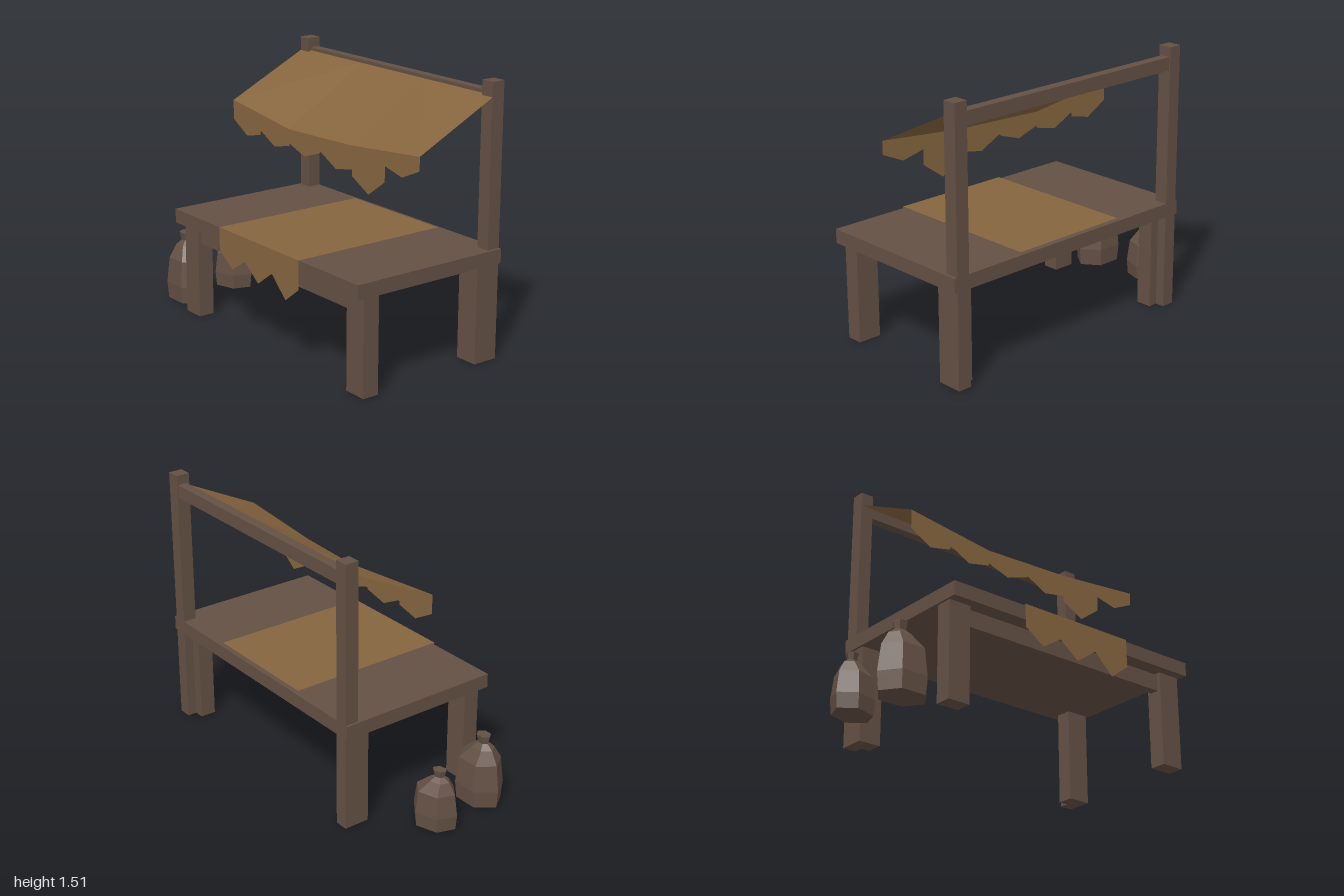
import * as THREE from 'three';

export function createModel() {
  const group = new THREE.Group();
  group.name = 'marketStall';

  const brown = new THREE.MeshStandardMaterial({ color: 0x645044 });
  brown.name = 'dark brown wood and sacking';
  const cloth = new THREE.MeshStandardMaterial({ color: 0x86653f, side: THREE.DoubleSide });
  cloth.name = 'tan cloth';

  const add = (name, geometry, material) => {
    const mesh = new THREE.Mesh(geometry, material);
    mesh.name = name;
    group.add(mesh);
    return mesh;
  };

  // Box given by its extents on each axis
  const box = (name, [x0, x1], [y0, y1], [z0, z1]) => {
    const mesh = add(name, new THREE.BoxGeometry(x1 - x0, y1 - y0, z1 - z0), brown);
    mesh.position.set((x0 + x1) / 2, (y0 + y1) / 2, (z0 + z1) / 2);
  };

  // Flat upright sheet with a ragged outline
  const sheet = (name, outline, z) => {
    const shape = new THREE.Shape(outline.map(([x, y]) => new THREE.Vector2(x, y)));
    add(name, new THREE.ShapeGeometry(shape), cloth).position.z = z;
  };

  // Table
  box('tableTop', [-0.65, 1], [0.54, 0.62], [-0.485, 0.475]);
  box('frontRail', [-0.505, 0.845], [0.435, 0.53], [0.35, 0.4]);
  for (const [side, legX, postX] of [
    ['Right', [-0.637, -0.505], [-0.637, -0.56]],
    ['Left', [0.845, 0.982], [0.904, 0.982]],
  ]) {
    box('frontLeg' + side, legX, [0, 0.54], [0.325, 0.42]);
    box('backLeg' + side, legX, [0, 0.54], [-0.43, -0.337]);
    box('backPost' + side, postX, [0, 1.515], [-0.485, -0.405]);
  }
  box('topBeam', [-0.56, 0.904], [1.385, 1.46], [-0.478, -0.422]);

  // Sagging awning: straight top edge, drooping front edge
  const columns = [[-0.637, 1.2], [-0.1, 1.13], [0.45, 1.15], [0.982, 1.2]];
  const top = columns.map(([x]) => [x, 1.442, -0.42]);
  const bottom = columns.map(([x, y]) => [x, y, 0.075]);
  const corners = [];
  for (let i = 0; i < 3; i++) {
    const a = top[i], b = bottom[i], c = bottom[i + 1], d = top[i + 1];
    corners.push(...(i === 0 ? [a, b, d, b, c, d] : [a, b, c, a, c, d]));
  }
  const awning = new THREE.BufferGeometry();
  awning.setAttribute('position', new THREE.Float32BufferAttribute(corners.flat(), 3));
  awning.computeVertexNormals();
  add('awning', awning, cloth);

  // Torn valance hanging from the awning
  sheet('awningValance', [
    [-0.637, 1.09], [-0.505, 1.015], [-0.375, 1.045], [-0.37, 1.07], [-0.24, 1.005],
    [-0.1, 1.037], [-0.1, 1.05], [0.035, 1.005], [0.17, 1.05], [0.18, 1.06],
    [0.31, 0.995], [0.45, 1.02], [0.45, 0.985], [0.585, 0.915], [0.715, 1.01],
    [0.715, 1.095], [0.85, 1.065], [0.982, 1.125], ...[...columns].reverse(),
  ], 0.075);

  // Runner across the table with a torn front flap
  const runner = new THREE.PlaneGeometry(0.72, 0.945).rotateX(-Math.PI / 2);
  add('tableRunner', runner, cloth).position.set(0.17, 0.625, 0.0125);
  sheet('runnerFlap', [
    [-0.19, 0.625], [-0.19, 0.495], [-0.07, 0.415], [0.05, 0.49], [0.17, 0.4],
    [0.295, 0.49], [0.415, 0.377], [0.53, 0.465], [0.53, 0.625],
  ], 0.485);

  // Six-sided faceted sacks with a tied neck leaning to one side
  const profile = [[0, 0], [0.143, 0], [0.153, 0.1], [0.133, 0.25], [0.07, 0.325],
    [0.033, 0.352], [0.046, 0.4], [0, 0.4]].map(([r, y]) => new THREE.Vector2(r, y));
  const sack = new THREE.LatheGeometry(profile, 6, Math.PI / 2).scale(1, 1, 0.79).toNonIndexed();
  const p = sack.attributes.position;
  for (let i = 0; i < p.count; i++) {
    if (p.getY(i) > 0.3) p.setX(i, p.getX(i) - 0.022);
  }
  sack.computeVertexNormals();
  add('largeSack', sack, brown).position.set(-0.82, 0, 0.285);
  const small = add('smallSack', sack, brown);
  small.position.set(-0.87, 0, -0.067);
  small.rotation.y = 0.31;
  small.scale.set(0.88, 0.825, 0.88);

  return group;
}
